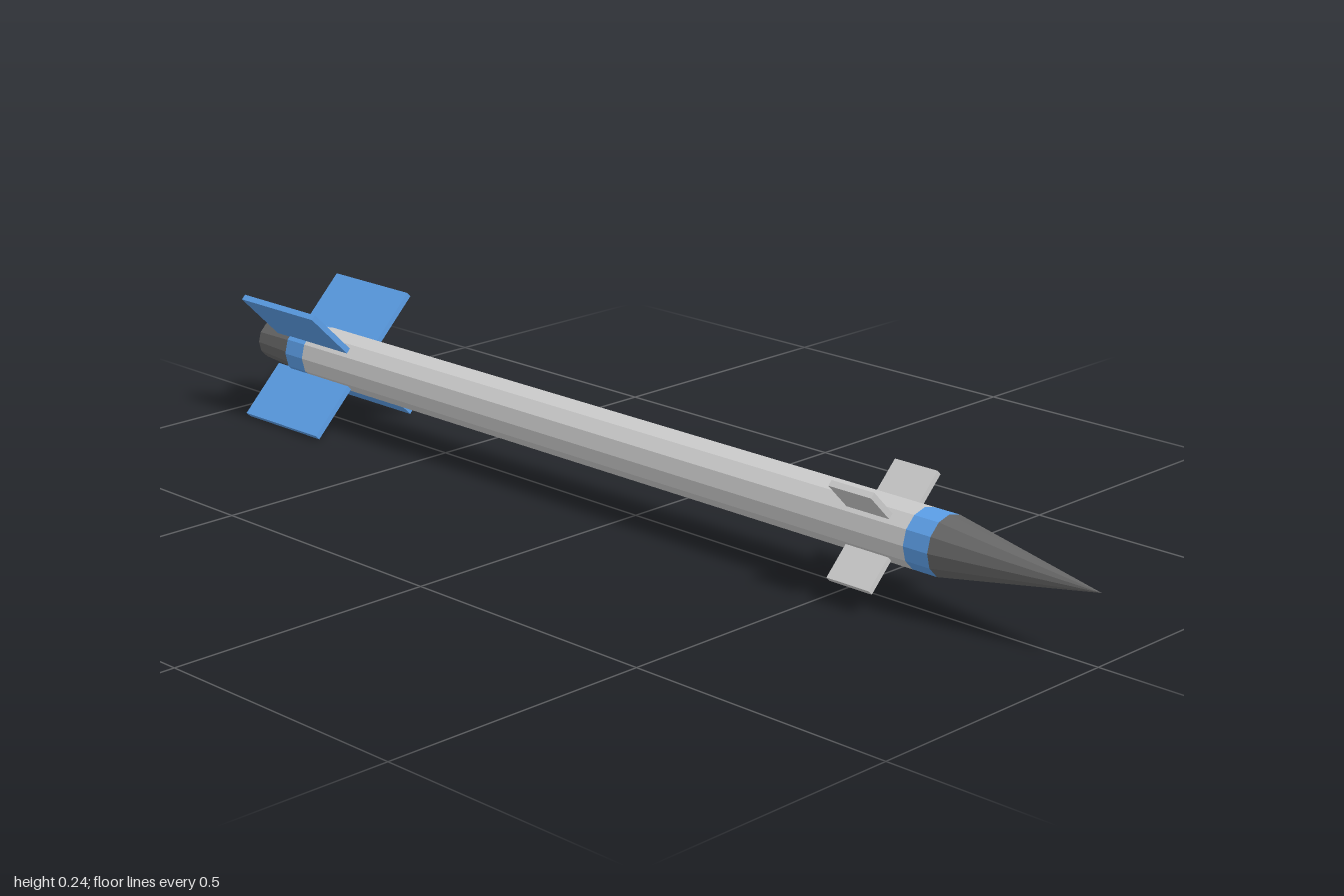
import * as THREE from 'three';

const AXIS_Y = 0.122;
const SIDES = 12;
const RADIUS = 0.053;

const material = (color) => new THREE.MeshStandardMaterial({ color, flatShading: true });

export function createModel() {
  const rocket = new THREE.Group();
  rocket.name = 'rocket';
  const grey = material(0xcccccc);
  const blue = material(0x5c9fe8);
  const dark = material(0x666666);

  // Faceted round section between two z positions
  function section(name, zBack, zFront, rBack, rFront, mat) {
    const geometry = new THREE.CylinderGeometry(rFront, rBack, zFront - zBack, SIDES);
    geometry.rotateX(Math.PI / 2);
    const mesh = new THREE.Mesh(geometry, mat);
    mesh.name = name;
    mesh.position.set(0, AXIS_Y, (zBack + zFront) / 2);
    rocket.add(mesh);
  }

  section('nozzle', -1, -0.9, 0.038, 0.045, dark);
  section('rearBand', -0.9, -0.85, RADIUS, RADIUS, blue);
  section('body', -0.85, 0.65, RADIUS, RADIUS, grey);
  section('frontBand', 0.65, 0.7, RADIUS, RADIUS, blue);
  section('noseCone', 0.7, 1, RADIUS, 0, dark);

  // Four flat plates in a diagonal cross around the axis
  function finSet(name, zBack, zFront, rOuter, mat) {
    const set = new THREE.Group();
    set.name = name + 's';
    set.position.set(0, AXIS_Y, (zBack + zFront) / 2);
    const rInner = 0.048;
    const geometry = new THREE.BoxGeometry(rOuter - rInner, 0.011, zFront - zBack);
    geometry.translate((rOuter + rInner) / 2, 0, 0);
    for (let i = 0; i < 4; i++) {
      const fin = new THREE.Mesh(geometry, mat);
      fin.name = name;
      fin.rotation.z = Math.PI / 4 + i * Math.PI / 2;
      set.add(fin);
    }
    rocket.add(set);
  }

  finSet('tailFin', -0.94, -0.73, 0.166, blue);
  finSet('frontFin', 0.52, 0.61, 0.116, grey);

  return rocket;
}
